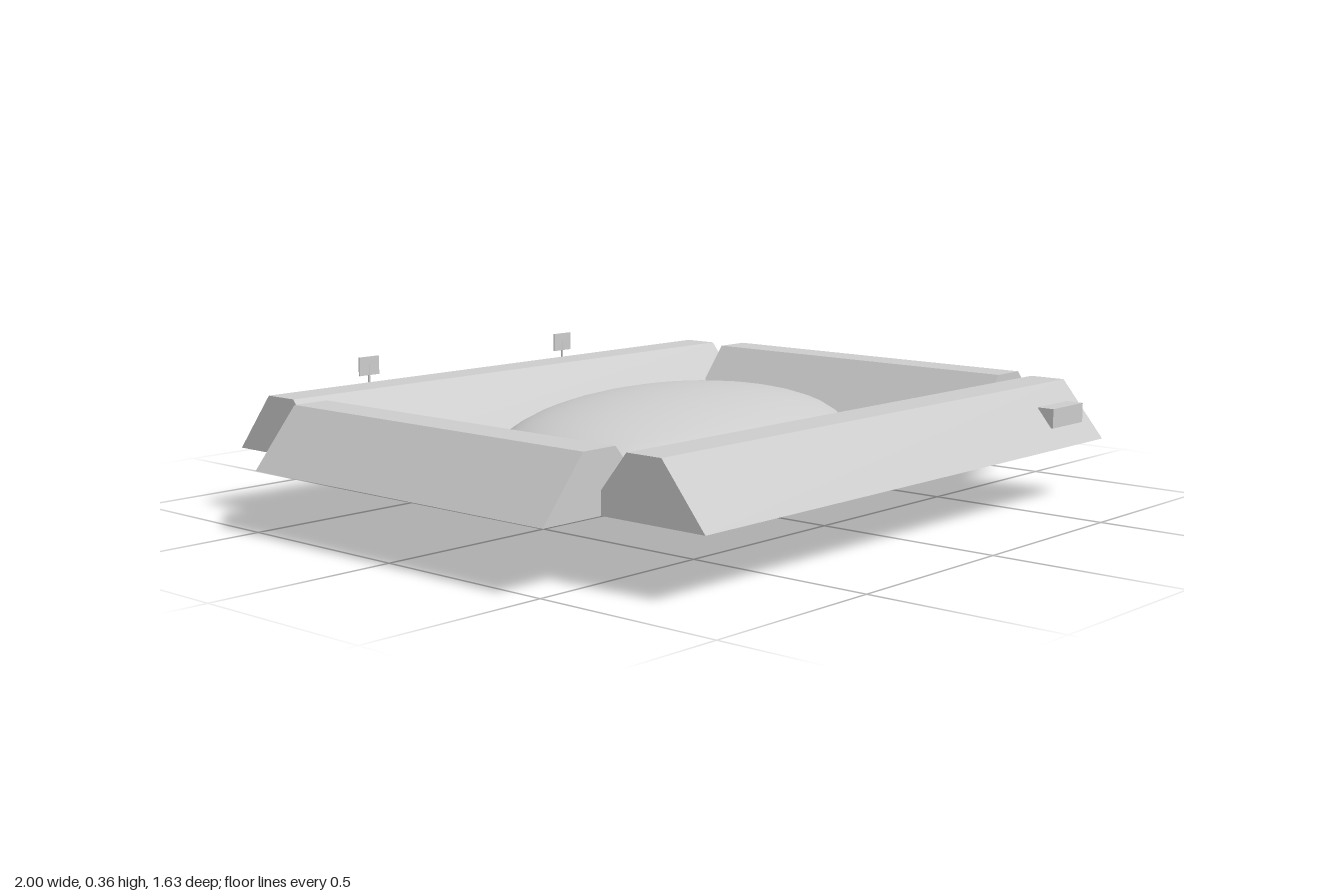
import * as THREE from 'three';

const BASE = 0.156, TOP = 0.307, CZ = 0.004;

export function createModel() {
  const root = new THREE.Group();
  root.name = 'walledPond';
  const grey = new THREE.MeshStandardMaterial({ color: 0xcccccc });
  const add = (name, geometry, x, y, z) => {
    const mesh = new THREE.Mesh(geometry, grey);
    mesh.name = name;
    mesh.position.set(x, y, z);
    root.add(mesh);
    return mesh;
  };

  // Bank: trapezoid section, extruded along its length and centred
  const bank = (name, length, x, z, turn) => {
    const section = new THREE.Shape([
      [-0.176, 0], [0.176, 0], [0.051, TOP - BASE], [-0.051, TOP - BASE],
    ].map(([a, b]) => new THREE.Vector2(a, b)));
    const geometry = new THREE.ExtrudeGeometry(section, { depth: length, bevelEnabled: false });
    geometry.translate(0, 0, -length / 2);
    add(name, geometry, x, BASE, z).rotation.y = turn;
  };
  bank('frontBank', 1.64, 0, CZ + 0.634, Math.PI / 2);
  bank('backBank', 1.64, 0, CZ - 0.634, Math.PI / 2);
  bank('leftBank', 1.012, 0.824, CZ, 0);
  bank('rightBank', 1.012, -0.824, CZ, 0);

  // Floor between the banks
  add('floor', new THREE.BoxGeometry(1.64, 0.004, 1.27), 0, BASE + 0.002, CZ);

  // Oval dome, bulging both above and below the floor
  const dome = new THREE.SphereGeometry(1, 32, 24);
  dome.scale(0.57, 0.155, 0.38);
  add('dome', dome, 0, BASE, CZ);

  // Small box set into the outer slope of the front bank
  add('frontBox', new THREE.BoxGeometry(0.15, 0.052, 0.05), 0.695, 0.23, 0.755);

  // Two sign plates on thin posts behind the back bank
  for (const [side, x] of [['left', 0.38], ['right', -0.38]]) {
    add(side + 'Post', new THREE.CylinderGeometry(0.003, 0.003, 0.178, 8), x, BASE + 0.089, -0.812);
    add(side + 'Sign', new THREE.BoxGeometry(0.07, 0.052, 0.004), x, 0.33, -0.812);
  }
  return root;
}
